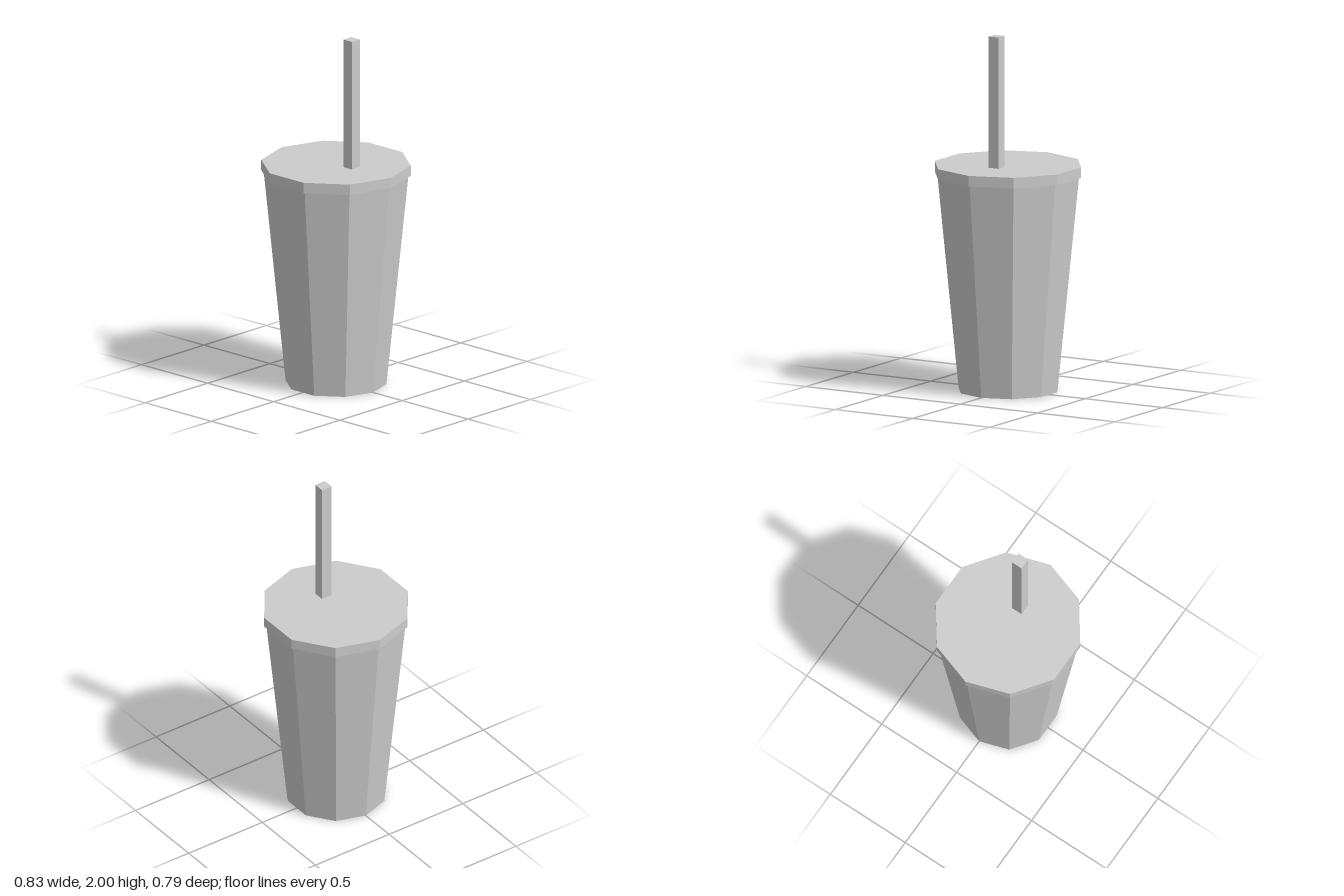
import * as THREE from 'three';

const SIDES = 10;

export function createModel() {
  const model = new THREE.Group();
  model.name = 'drinkCup';

  const grey = new THREE.MeshStandardMaterial({ color: 0xcccccc, flatShading: true });
  grey.name = 'light grey';

  function addPart(name, geometry, x, y, z) {
    const mesh = new THREE.Mesh(geometry, grey);
    mesh.name = name;
    mesh.position.set(x, y, z);
    model.add(mesh);
  }

  // Ten-sided prism standing between two heights, with a corner on the x axis
  function addTier(name, topRadius, bottomRadius, bottom, top) {
    const geometry = new THREE.CylinderGeometry(
      topRadius, bottomRadius, top - bottom, SIDES, 1, false, Math.PI / 2);
    addPart(name, geometry, 0, (bottom + top) / 2, 0);
  }

  // Tapered cup and its overhanging lid
  addTier('cup', 0.402, 0.28, 0, 1.205);
  addTier('lid', 0.415, 0.415, 1.205, 1.265);

  // Square straw, off centre, sunk slightly into the lid
  const strawBottom = 1.25, strawTop = 2;
  addPart('straw', new THREE.BoxGeometry(0.064, strawTop - strawBottom, 0.064),
    0.118, (strawBottom + strawTop) / 2, 0);

  return model;
}
